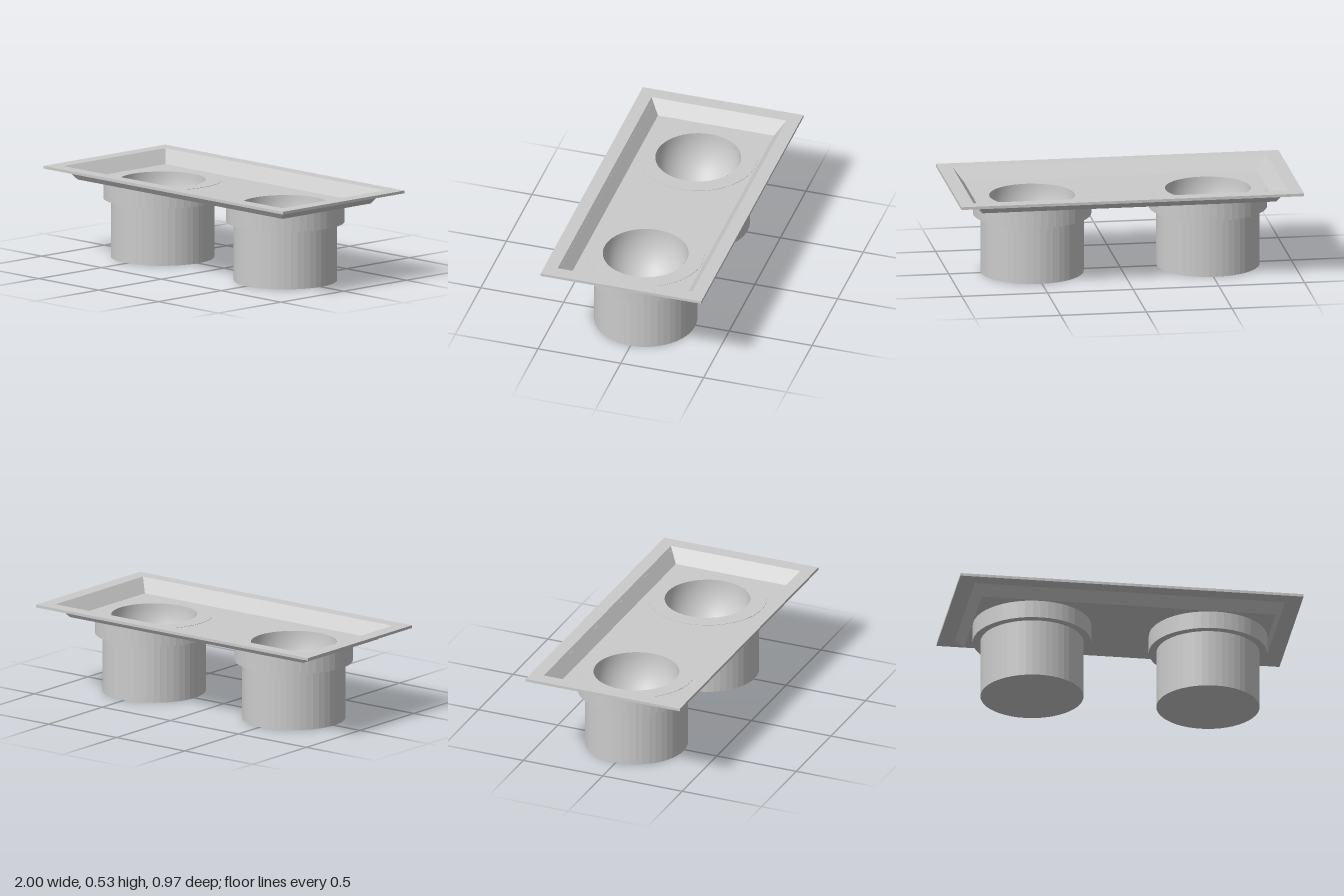
import * as THREE from 'three';

const grey = new THREE.MeshStandardMaterial({ color: 0xcccccc, side: THREE.DoubleSide });
const facetedGrey = new THREE.MeshStandardMaterial({ color: 0xcccccc, flatShading: true, side: THREE.DoubleSide });
const amber = new THREE.MeshStandardMaterial({ color: 0xe0b450 });

const LAMP_X = 0.513;
const FLOOR_Y = 0.45;
const RIM_Y = 0.452;

function addMesh(parent, name, geometry, material) {
  const mesh = new THREE.Mesh(geometry, material);
  mesh.name = name;
  parent.add(mesh);
  return mesh;
}

function lathe(points, sides = 48) {
  return new THREE.LatheGeometry(points.map(([r, y]) => new THREE.Vector2(r, y)), sides);
}

// Joins rectangles given as [half width, half depth, height] with flat quads
function rectangularLoft(rings) {
  const signs = [[1, 1], [1, -1], [-1, -1], [-1, 1]];
  const corner = ([hx, hz, y], i) => [signs[i % 4][0] * hx, y, signs[i % 4][1] * hz];
  const positions = [];
  for (let k = 0; k < rings.length - 1; k++) {
    for (let i = 0; i < 4; i++) {
      const a = corner(rings[k], i), b = corner(rings[k], i + 1);
      const c = corner(rings[k + 1], i + 1), d = corner(rings[k + 1], i);
      positions.push(...a, ...c, ...b, ...a, ...d, ...c);
    }
  }
  const geometry = new THREE.BufferGeometry();
  geometry.setAttribute('position', new THREE.Float32BufferAttribute(positions, 3));
  geometry.computeVertexNormals();
  return geometry;
}

// Recess floor with a round opening for each lamp
function floorGeometry() {
  const shape = new THREE.Shape();
  shape.moveTo(-0.857, -0.35).lineTo(0.857, -0.35).lineTo(0.857, 0.35).lineTo(-0.857, 0.35).closePath();
  for (const side of [-1, 1]) {
    const hole = new THREE.Path();
    hole.absarc(side * LAMP_X, 0, 0.3, 0, Math.PI * 2, true);
    shape.holes.push(hole);
  }
  return new THREE.ShapeGeometry(shape, 24).rotateX(-Math.PI / 2).translate(0, FLOOR_Y, 0);
}

function createLamp() {
  const lamp = new THREE.Group();

  // Stepped can with a flat rim
  addMesh(lamp, 'housing', lathe([
    [0, 0], [0.298, 0], [0.298, 0.345], [0.342, 0.345], [0.342, RIM_Y], [0.248, RIM_Y],
  ]), facetedGrey);

  // Deep rounded reflector bowl
  const bowl = [];
  const depth = 0.3;
  for (let i = 0; i <= 16; i++) {
    const a = (i / 16) * Math.PI / 2;
    bowl.push([0.248 * Math.cos(a), RIM_Y - depth * Math.sin(a)]);
  }
  addMesh(lamp, 'reflector', lathe(bowl, 64), grey);

  // Bulb holder with a softened top edge, and its lens
  addMesh(lamp, 'bulbHolder', lathe([
    [0.05, 0.14], [0.05, 0.185], [0.046, 0.195], [0.036, 0.2], [0, 0.2],
  ], 32), grey);
  addMesh(lamp, 'bulbLens', new THREE.CylinderGeometry(0.034, 0.036, 0.01, 32), amber).position.y = 0.203;
  return lamp;
}

export function createModel() {
  const model = new THREE.Group();
  model.name = 'twinRecessedLight';

  // Sloping recess walls and the thin trim flange around them
  addMesh(model, 'trimFrame', rectangularLoft([
    [0.857, 0.35, FLOOR_Y], [0.917, 0.407, 0.528], [1, 0.485, 0.528],
    [1, 0.485, 0.512], [0.905, 0.395, 0.512],
  ]), facetedGrey);
  addMesh(model, 'recessFloor', floorGeometry(), grey);

  // Pair of lamps
  for (const side of [-1, 1]) {
    const lamp = createLamp();
    lamp.name = side > 0 ? 'leftLamp' : 'rightLamp';
    lamp.position.x = side * LAMP_X;
    model.add(lamp);
  }
  return model;
}
